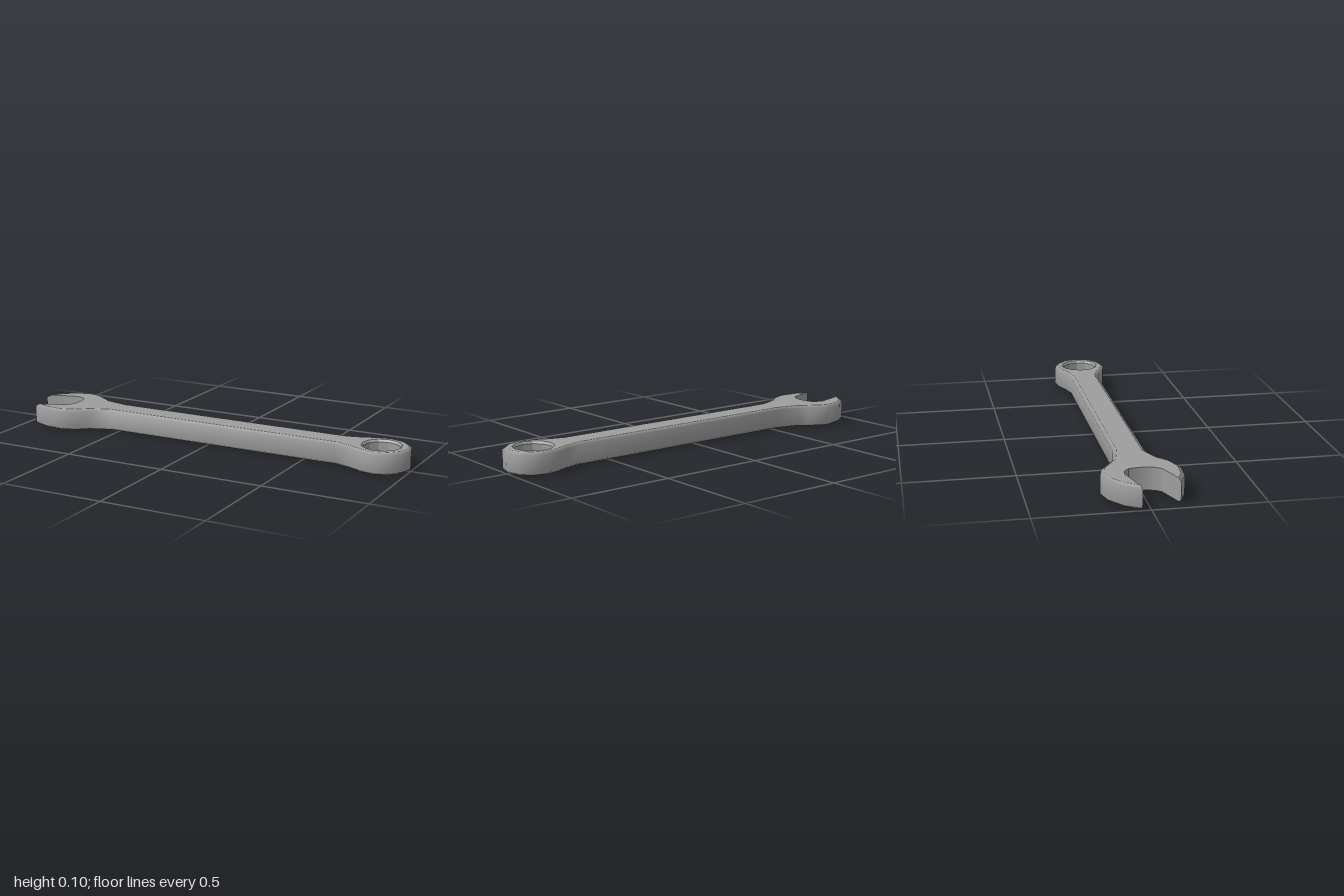
import * as THREE from 'three';
import { toCreasedNormals } from 'three/addons/utils/BufferGeometryUtils.js';

const H = 0.105, EDGE = 0.011, BEVEL = 0.017;

// Outside edge as [x, z], from the long jaw tip round the ring to the short jaw tip
const outer = [
  [-1, -0.038], [-0.95, -0.113], [-0.885, -0.161], [-0.81, -0.181], [-0.745, -0.167],
  [-0.69, -0.13], [-0.645, -0.1], [-0.53, -0.074],
  [0.66, -0.074], [0.735, -0.094], [0.79, -0.117], [0.863, -0.13], [0.933, -0.11],
  [0.98, -0.064], [1, 0.002], [0.98, 0.068], [0.933, 0.114], [0.863, 0.134],
  [0.79, 0.119], [0.735, 0.093], [0.66, 0.068],
  [-0.55, 0.068], [-0.645, 0.104], [-0.7, 0.15], [-0.775, 0.176], [-0.87, 0.17], [-0.945, 0.137],
];
// Inside of the open jaw, from the short tip back to the long tip
const jaw = [
  [-0.805, 0.087], [-0.785, 0.062], [-0.774, 0.03], [-0.773, -0.02], [-0.782, -0.055],
  [-0.805, -0.075], [-0.84, -0.083],
];

// Shift a point a distance toward another
function toward([x, z], [tx, tz], dist) {
  const l = Math.hypot(tx - x, tz - z);
  return [x + (tx - x) * dist / l, z + (tz - z) * dist / l];
}

// Bevelled copy of the outside edge; the tips slide along the jaw faces
function insetOuter() {
  const normal = (a, b) => new THREE.Vector2(b[1] - a[1], a[0] - b[0]).normalize();
  const last = outer.length - 1;
  return outer.map((p, i) => {
    if (i === 0) return toward(p, jaw[jaw.length - 1], 0.025);
    if (i === last) return toward(p, jaw[0], 0.02);
    const a = normal(outer[i - 1], p), b = normal(p, outer[i + 1]);
    const k = BEVEL / (1 + a.dot(b));
    return [p[0] - (a.x + b.x) * k, p[1] - (a.y + b.y) * k];
  });
}

// Wall through stacked open loops of [x, z] points
function wall(loops, heights) {
  const n = loops[0].length, pos = [], idx = [];
  loops.forEach((loop, j) => loop.forEach(([x, z]) => pos.push(x, heights[j], z)));
  for (let j = 0; j < loops.length - 1; j++) {
    for (let i = 0; i < n - 1; i++) {
      const a = j * n + i, b = a + 1, d = a + n, c = d + 1;
      idx.push(a, d, b, b, d, c);
    }
  }
  const g = new THREE.BufferGeometry();
  g.setAttribute('position', new THREE.Float32BufferAttribute(pos, 3));
  g.setIndex(idx);
  g.computeVertexNormals();
  return g;
}

// Twelve-sided opening of the ring end
function ringLoop(r) {
  return Array.from({ length: 13 }, (_, i) => {
    const a = -i * Math.PI / 6;
    return [0.86 + r * Math.cos(a), 0.002 + r * Math.sin(a)];
  });
}

// Flat face with the ring opening cut out
function face(contour, hole, up) {
  const s = up ? -1 : 1;
  const pts = (list) => list.map(([x, z]) => new THREE.Vector2(x, s * z));
  const shape = new THREE.Shape(pts(contour));
  shape.holes.push(new THREE.Path(pts(hole)));
  const g = new THREE.ShapeGeometry(shape);
  g.rotateX(s * Math.PI / 2);
  if (up) g.translate(0, H, 0);
  return g;
}

export function createModel() {
  const group = new THREE.Group();
  group.name = 'wrench';
  const steel = new THREE.MeshStandardMaterial({ color: 0x9e9e9e });
  steel.name = 'steel grey';
  const add = (name, geometry) => {
    const mesh = new THREE.Mesh(geometry, steel);
    mesh.name = name;
    group.add(mesh);
  };
  const levels = [0, EDGE, H - EDGE, H];
  const stack = (inner, full) => [inner, full, full, inner];
  const inset = insetOuter(), end = outer.length - 1;

  // Rounded outside of jaws, handle and ring
  add('outerEdge', wall(stack(inset, outer), levels));

  // Straight-sided jaw opening
  const opening = (edge) => [edge[end], ...jaw, edge[0]];
  add('jawOpening', toCreasedNormals(wall(stack(opening(inset), opening(outer)), levels), 0.5));

  // Faceted ring opening with a small chamfer
  const rim = ringLoop(0.094), bore = ringLoop(0.086);
  add('ringOpening', toCreasedNormals(wall(stack(rim, bore), levels), 0.2));

  // Flat top and bottom
  const contour = [...inset, ...jaw], hole = rim.slice(0, -1);
  add('topFace', face(contour, hole, true));
  add('bottomFace', face(contour, hole, false));
  return group;
}
